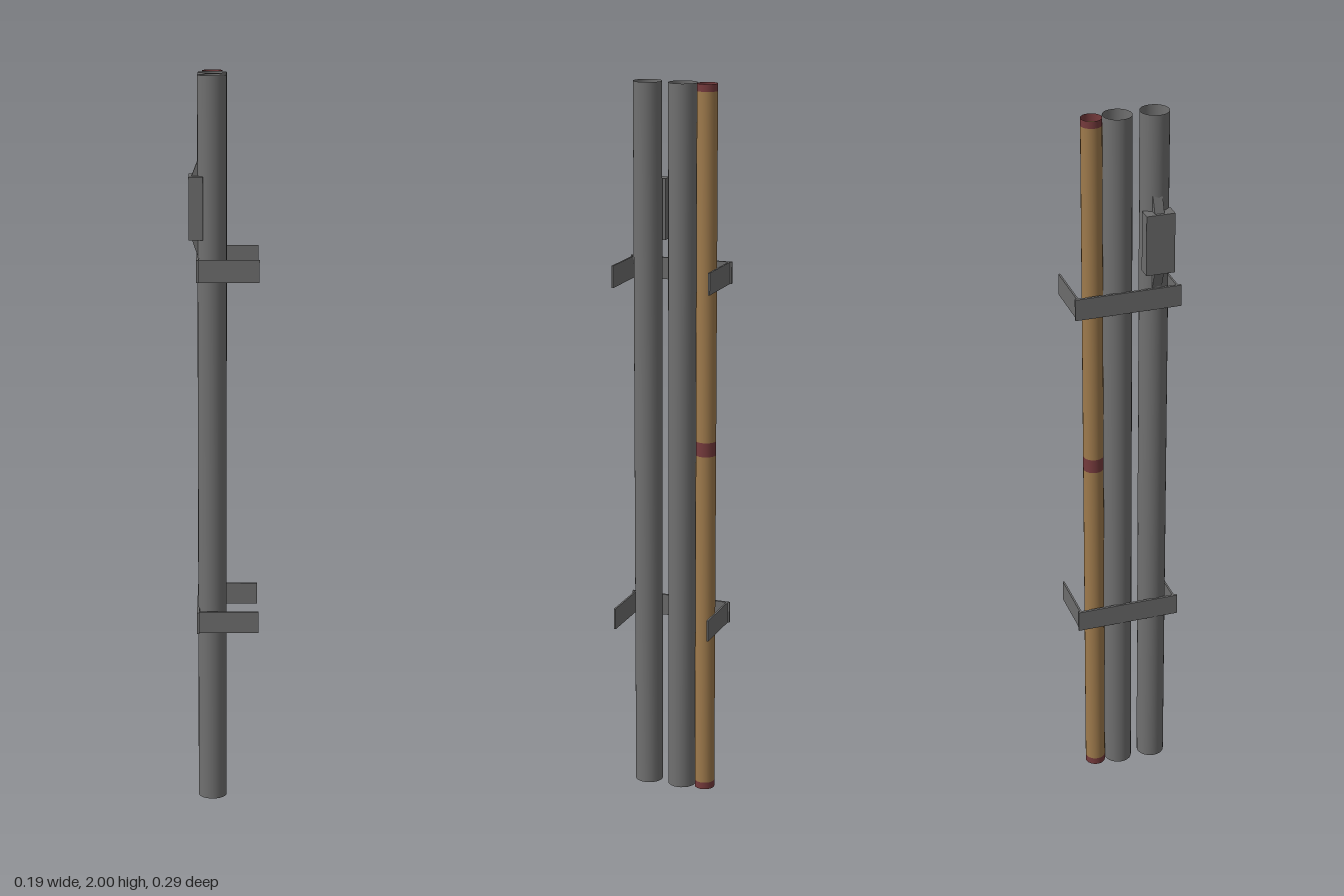
import * as THREE from 'three';

const pipeGrey = new THREE.MeshStandardMaterial({ color: 0x707070, side: THREE.DoubleSide });
pipeGrey.name = 'pipe grey';
const bracketGrey = new THREE.MeshStandardMaterial({ color: 0x6c6c6c });
bracketGrey.name = 'bracket grey';
const copper = new THREE.MeshStandardMaterial({ color: 0x9e7a4c, side: THREE.DoubleSide });
copper.name = 'copper brown';
const darkRed = new THREE.MeshStandardMaterial({ color: 0x753a3c, side: THREE.DoubleSide });
darkRed.name = 'dark red';

const PIPE_X = -0.033;

// Open-ended tube section running from y0 to y1
function tube(name, material, radius, z, y0, y1) {
  const mesh = new THREE.Mesh(new THREE.CylinderGeometry(radius, radius, y1 - y0, 24, 1, true), material);
  mesh.position.set(PIPE_X, (y0 + y1) / 2, z);
  mesh.name = name;
  return mesh;
}

// Box given by its minimum and maximum corners
function slab(name, x0, x1, y0, y1, z0, z1) {
  const mesh = new THREE.Mesh(new THREE.BoxGeometry(x1 - x0, y1 - y0, z1 - z0), bracketGrey);
  mesh.position.set((x0 + x1) / 2, (y0 + y1) / 2, (z0 + z1) / 2);
  mesh.name = name;
  return mesh;
}

// U-shaped wall bracket: back plate with two arms
function bracket(name, y) {
  const group = new THREE.Group();
  group.name = name;
  const lo = y - 0.03, hi = y + 0.03;
  group.add(
    slab('bracketPlate', -0.075, -0.068, lo, hi, -0.147, 0.145),
    slab('bracketFrontArm', -0.069, 0.093, lo, hi, 0.132, 0.137),
    slab('bracketBackArm', -0.069, 0.093, lo, hi, -0.142, -0.137),
  );
  return group;
}

export function createModel() {
  const model = new THREE.Group();
  model.name = 'pipeRun';

  // Two wide grey pipes
  model.add(tube('frontPipe', pipeGrey, 0.039, 0.081, 0, 2));
  model.add(tube('middlePipe', pipeGrey, 0.039, -0.019, 0, 2));

  // Narrow brown pipe with red bands at the ends and middle
  const cuts = [0, 0.02, 0.985, 1.025, 1.98, 2];
  for (let i = 0; i < cuts.length - 1; i++) {
    const red = i % 2 === 0;
    model.add(tube(red ? 'redBand' : 'brownPipe', red ? darkRed : copper, 0.028, -0.088, cuts[i], cuts[i + 1]));
  }

  // Brackets
  model.add(bracket('lowerBracket', 0.52), bracket('upperBracket', 1.49));

  // Junction box on the front pipe
  model.add(slab('junctionBox', -0.095, -0.057, 1.57, 1.737, 0.04, 0.118));

  // Tapered fitting that leaves the box above and below
  const profile = new THREE.Shape([
    [-0.057, 1.52], [-0.07, 1.52], [-0.087, 1.57], [-0.087, 1.737], [-0.07, 1.78], [-0.057, 1.78],
  ].map(([x, y]) => new THREE.Vector2(x, y)));
  const fitting = new THREE.Mesh(
    new THREE.ExtrudeGeometry(profile, { depth: 0.026, bevelEnabled: false }), bracketGrey);
  fitting.position.z = 0.065;
  fitting.name = 'boxFitting';
  model.add(fitting);

  return model;
}
